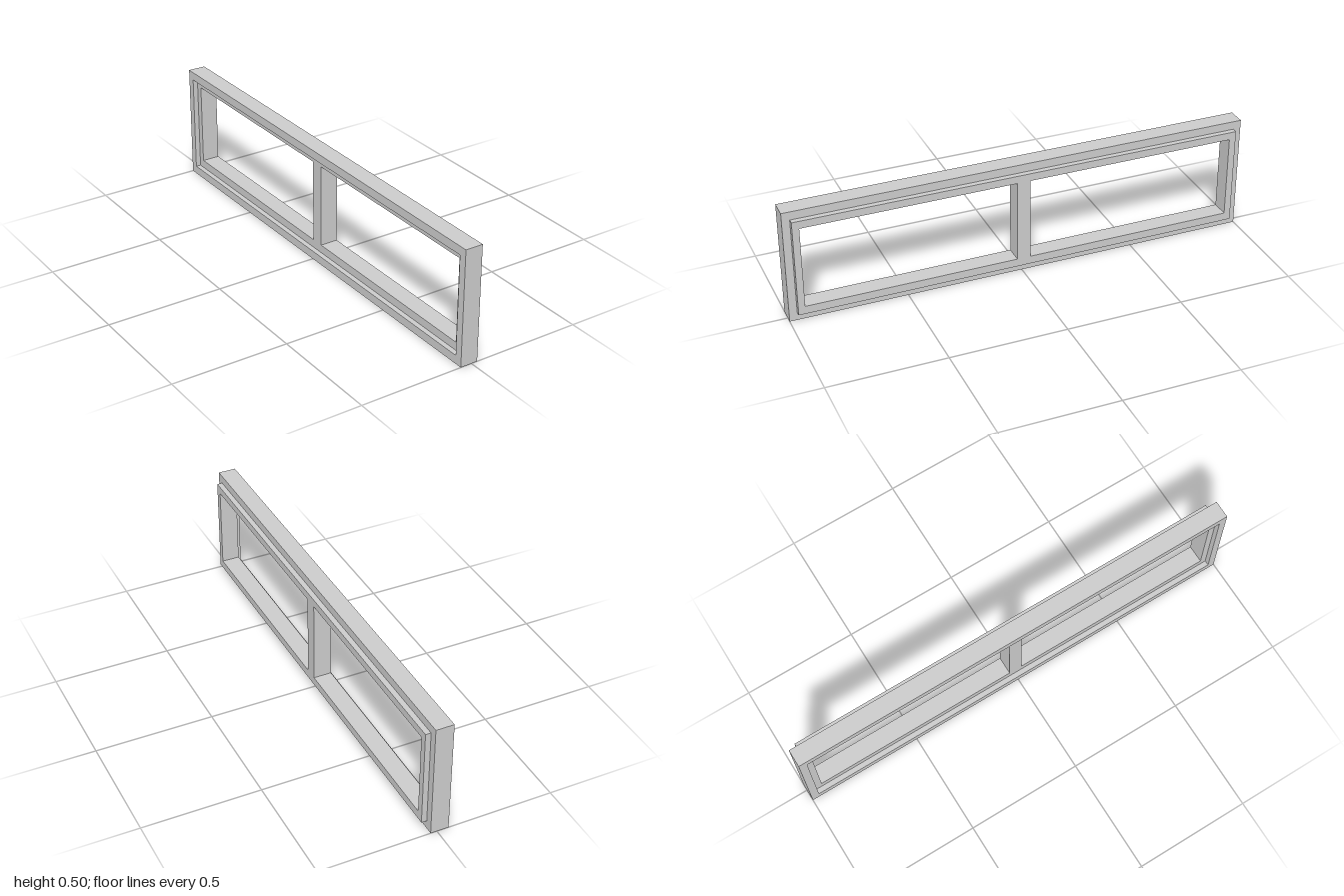
import * as THREE from 'three';

const material = new THREE.MeshStandardMaterial({ color: 0xcccccc, flatShading: true });

// Rectangular frame in the z-y plane, extruded along x from x0 to x1.
// outer and inner are [zMin, yMin, zMax, yMax].
function frame(name, outer, inner, x0, x1) {
  const corners = ([a, b, c, d]) => [[a, b], [c, b], [c, d], [a, d]].map(([z, y]) => new THREE.Vector2(z, y));
  const shape = new THREE.Shape(corners(outer));
  shape.holes.push(new THREE.Path(corners(inner).reverse()));
  const geometry = new THREE.ExtrudeGeometry(shape, { depth: x1 - x0, bevelEnabled: false });
  geometry.rotateY(-Math.PI / 2).translate(x1, 0, 0);
  const mesh = new THREE.Mesh(geometry, material);
  mesh.name = name;
  return mesh;
}

export function createModel() {
  const group = new THREE.Group();
  group.name = 'doubleWindow';

  const sashEnd = 0.967, sashBottom = 0.036, sashTop = 0.464;

  // Fixed outer frame
  group.add(frame('outerFrame', [-1, 0, 1, 0.5], [-sashEnd, sashBottom, sashEnd, sashTop], -0.05, 0.027));

  // Two sashes meeting in the middle, standing proud of the +x face and recessed at the back
  const zIn = 0.029, zOut = 0.938, yLow = 0.071, yHigh = 0.431;
  group.add(
    frame('leftSash', [0, sashBottom, sashEnd, sashTop], [zIn, yLow, zOut, yHigh], -0.028, 0.05),
    frame('rightSash', [-sashEnd, sashBottom, 0, sashTop], [-zOut, yLow, -zIn, yHigh], -0.028, 0.05)
  );
  return group;
}
